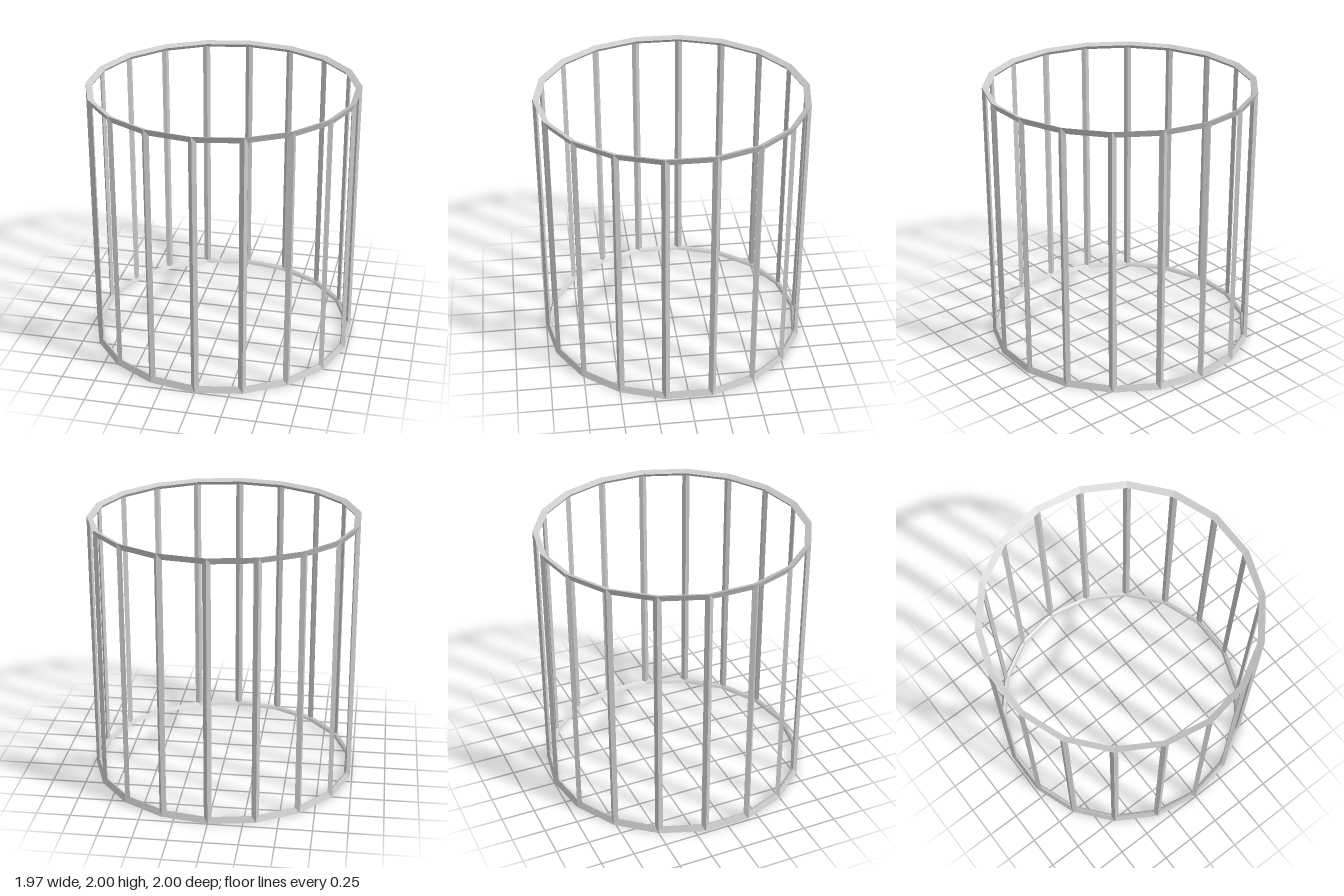
import * as THREE from 'three';

const SIDES = 18;
const HEIGHT = 2;
const CORE = 0.982;   // radius of the strut centre line
const D = 0.018;      // ridge offset from the centre line
const INSET = 0.029;  // half width of a strut along its panel

const material = new THREE.MeshStandardMaterial({ color: 0xcccccc, flatShading: true });

// point on the cylinder at corner i
function corner(i, radius, y) {
  const a = (i / SIDES) * Math.PI * 2;
  return new THREE.Vector3(Math.sin(a) * radius, y, Math.cos(a) * radius);
}

// point on the panel edge, slightly away from corner i towards its neighbour
function panelPoint(i, dir, y) {
  const from = corner(i, CORE, y), to = corner(i + dir, CORE, y);
  return from.add(to.sub(from).setLength(INSET));
}

// skins two matching cross-section loops with quads
function bridge(out, a, b, flip) {
  a.forEach((p, k) => {
    const n = (k + 1) % a.length;
    const tris = [p, a[n], b[n], p, b[n], b[k]];
    if (flip) tris.reverse();
    tris.forEach((v) => out.push(v.x, v.y, v.z));
  });
}

function makeMesh(name, positions) {
  const geometry = new THREE.BufferGeometry();
  geometry.setAttribute('position', new THREE.Float32BufferAttribute(positions, 3));
  geometry.computeVertexNormals();
  const mesh = new THREE.Mesh(geometry, material);
  mesh.name = name;
  return mesh;
}

// diamond-section hoop; s = 1 for the top, -1 for the bottom
function makeRing(name, s) {
  const level = (drop) => (s > 0 ? HEIGHT - drop : drop);
  const section = (i, dir) => [
    corner(i, 1, level(0)),
    panelPoint(i, dir, level(D + INSET)),
    corner(i, CORE - D, level(2 * D)),
    corner(i, CORE - INSET, level(D)),
  ];
  const out = [];
  for (let i = 0; i < SIDES; i++) bridge(out, section(i, 1), section(i + 1, -1), s < 0);
  return makeMesh(name, out);
}

// diamond-section upright whose ends are mitred into the hoops
function makeBar(i) {
  const section = (level) => [
    corner(i, 1, level(0)),
    panelPoint(i, 1, level(D + INSET)),
    corner(i, CORE - D, level(2 * D)),
    panelPoint(i, -1, level(D + INSET)),
  ];
  const out = [];
  bridge(out, section((d) => d), section((d) => HEIGHT - d), false);
  return makeMesh('uprightBar', out);
}

export function createModel() {
  const model = new THREE.Group();
  model.name = 'cylindricalCage';
  model.add(makeRing('topRing', 1), makeRing('bottomRing', -1));
  const bars = new THREE.Group();
  bars.name = 'uprightBars';
  for (let i = 0; i < SIDES; i++) bars.add(makeBar(i));
  model.add(bars);
  return model;
}
